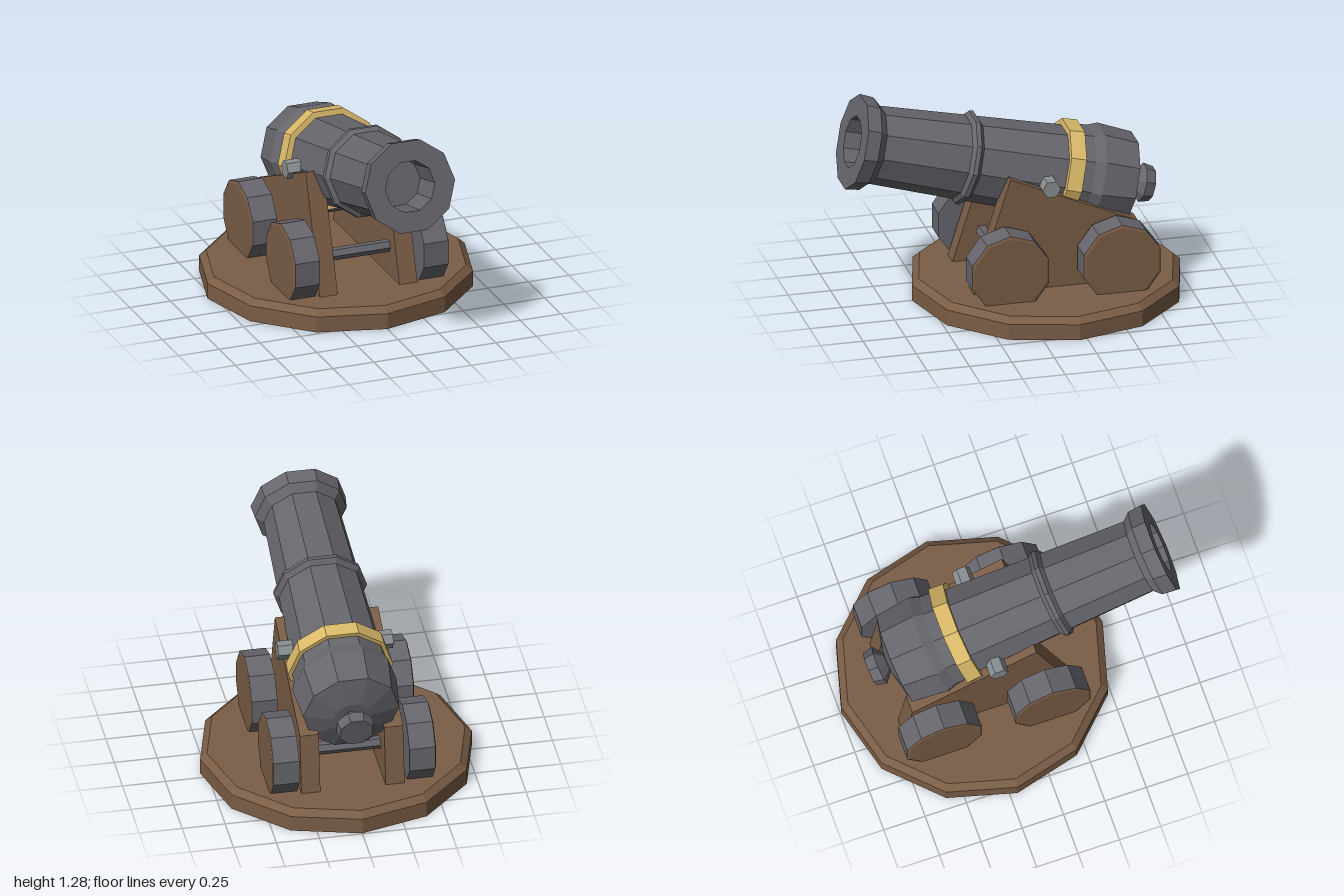
import * as THREE from 'three';

const TILT = 0.25;      // barrel elevation
const AXIS_Y = 0.786;   // height of the barrel axis at z = 0

export function createModel() {
  const mat = (name, color) => new THREE.MeshStandardMaterial({ name, color, flatShading: true });
  const iron = mat('dark iron', 0x67666d);
  const steel = mat('light steel', 0x8a8f93);
  const wood = mat('brown wood', 0x7a5d46);
  const gold = mat('gold', 0xdbbb6a);

  const model = new THREE.Group();
  model.name = 'cannon';
  const add = (parent, name, geometry, material) => {
    const mesh = new THREE.Mesh(geometry, material);
    mesh.name = name;
    parent.add(mesh);
    return mesh;
  };
  // Turned part: pairs of [distance along axis, radius], ordered from back to front
  const turned = (points, sides, start) =>
    new THREE.LatheGeometry(points.map(([s, r]) => new THREE.Vector2(r, s)), sides, start);
  // Hexagonal rod lying along x
  const rod = (radius, length) =>
    new THREE.CylinderGeometry(radius, radius, length, 6).rotateZ(Math.PI / 2);

  // Twelve-sided base with bevelled rim
  const base = add(model, 'base', turned(
    [[0, 0], [0, 0.79], [0.095, 0.79], [0.13, 0.75], [0.13, 0]], 12, 0), wood);
  base.position.z = -0.205;

  // Carriage side plates
  const profile = new THREE.Shape([
    [0.3, 0.12], [0.08, 0.82], [-0.67, 0.49], [-0.72, 0.12],
  ].map(([z, y]) => new THREE.Vector2(z, y)));
  for (const [name, x] of [['leftCheek', 0.3], ['rightCheek', -0.19]]) {
    const geometry = new THREE.ExtrudeGeometry(profile, { depth: 0.11, bevelEnabled: false });
    add(model, name, geometry.rotateY(-Math.PI / 2), wood).position.x = x;
  }

  // Axles and wheels
  for (const [end, z] of [['front', 0.122], ['rear', -0.535]]) {
    add(model, end + 'Axle', rod(0.037, 0.66), iron).position.set(0, 0.305, z);
    for (const side of [1, -1]) {
      const wheel = new THREE.Group();
      wheel.name = end + (side > 0 ? 'Left' : 'Right') + 'Wheel';
      const tread = new THREE.CylinderGeometry(0.237, 0.237, 0.15, 10, 1, false, Math.PI / 2);
      add(wheel, 'tread', tread.rotateZ(-Math.PI / 2), iron);
      const face = new THREE.CylinderGeometry(0.222, 0.237, 0.006, 10, 1, false, Math.PI / 2);
      add(wheel, 'woodenFace', face.rotateZ(-Math.PI / 2), wood).position.x = 0.078;
      wheel.position.set(side * 0.395, 0.307, z);
      if (side < 0) wheel.rotation.y = Math.PI;
      model.add(wheel);
    }
  }

  // Tilted barrel assembly, built along y
  const gun = new THREE.Group();
  gun.name = 'gun';
  gun.position.y = AXIS_Y;
  gun.rotation.x = Math.PI / 2 - TILT;
  model.add(gun);

  add(gun, 'barrel', turned([
    [-0.73, 0], [-0.73, 0.11], [-0.685, 0.28], [-0.475, 0.303], [-0.415, 0.283],
    [-0.35, 0.28], [-0.26, 0.264], [0.25, 0.245], [0.275, 0.272], [0.3, 0.268],
    [0.32, 0.243], [0.834, 0.225], [0.88, 0.267], [0.965, 0.276],
    [0.965, 0.152], [0.75, 0.145], [0.75, 0],
  ], 10, Math.PI / 2), iron);

  add(gun, 'goldBand', turned([
    [-0.35, 0.26], [-0.35, 0.305], [-0.26, 0.3], [-0.26, 0.255],
  ], 10, Math.PI / 2), gold);

  add(gun, 'rearKnob', turned([
    [-0.848, 0], [-0.848, 0.1], [-0.788, 0.113], [-0.74, 0.055], [-0.72, 0.055],
  ], 8, Math.PI / 8), iron);

  // Pivot pins through the barrel
  add(model, 'trunnions', rod(0.054, 0.67), steel).position.set(0, 0.748, -0.155);

  return model;
}
